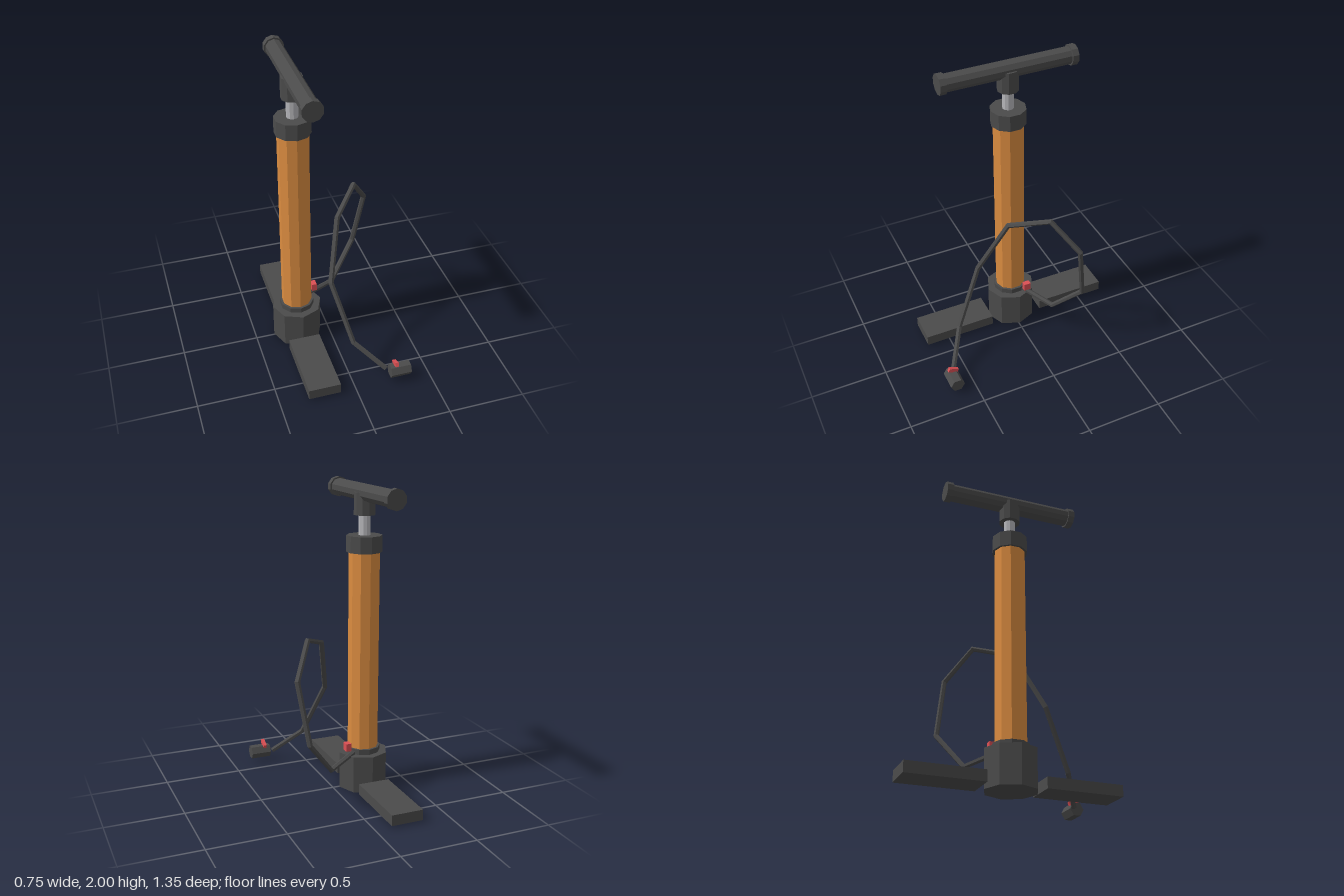
import * as THREE from 'three';

const mat = (name, color) => {
  const m = new THREE.MeshStandardMaterial({ color, flatShading: true });
  m.name = name;
  return m;
};

export function createModel() {
  const dark = mat('dark plastic', 0x4b4b4b);
  const orange = mat('orange barrel', 0xdb8c40);
  const silver = mat('silver rod', 0xb6b6ba);
  const red = mat('red accent', 0xdc5054);

  const model = new THREE.Group();
  model.name = 'floorPump';

  const add = (name, geometry, material, x, y, z, parent = model) => {
    const mesh = new THREE.Mesh(geometry, material);
    mesh.name = name;
    mesh.position.set(x, y, z);
    parent.add(mesh);
    return mesh;
  };

  // Upright body, stacked on one axis
  const body = new THREE.Group();
  body.name = 'body';
  body.position.set(-0.21, 0, -0.007);
  model.add(body);
  const stack = (name, r, y0, y1, sides, material) =>
    add(name, new THREE.CylinderGeometry(r, r, y1 - y0, sides), material, 0, (y0 + y1) / 2, 0, body);
  stack('base', 0.165, 0, 0.245, 8, dark);
  stack('lowerCollar', 0.114, 0.245, 0.28, 10, dark);
  stack('barrel', 0.099, 0.28, 1.57, 10, orange);
  stack('upperCollar', 0.114, 1.57, 1.675, 10, dark);
  stack('rod', 0.037, 1.675, 1.8, 10, silver);
  stack('handleStem', 0.068, 1.8, 1.94, 10, dark);

  // Cross handle with end caps
  const bar = (name, r, length, z) =>
    add(name, new THREE.CylinderGeometry(r, r, length, 10).rotateX(Math.PI / 2), dark, 0, 1.937, z, body);
  bar('handleBar', 0.055, 0.82, 0);
  for (const s of [1, -1]) {
    bar('handleCap', 0.065, 0.042, s * 0.424);
    // Foot plates in front of and behind the base
    add('footPlate', new THREE.BoxGeometry(0.21, 0.07, 0.484), dark, 0, 0.048, s * 0.424, body);
  }

  // Hose: straight runs joined at mitred corners
  const points = [
    [-0.13, 0.255, -0.055], [0.09, 0.215, -0.19], [0.28, 0.455, -0.31],
    [0.335, 0.85, -0.25], [0.21, 1.06, -0.1], [0.035, 0.975, 0.11],
    [-0.06, 0.61, 0.29], [0.035, 0.24, 0.475], [0.217, 0.075, 0.597],
  ].map((p) => new THREE.Vector3(...p));
  const last = points.length - 1;
  const path = new THREE.Curve();
  path.getPointAt = (u) => points[Math.round(u * last)].clone();
  path.getTangentAt = (u) => {
    const i = Math.round(u * last);
    const dir = (k) => points[k + 1].clone().sub(points[k]).normalize();
    return dir(Math.max(i - 1, 0)).add(dir(Math.min(i, last - 1))).normalize();
  };
  add('hose', new THREE.TubeGeometry(path, last, 0.018, 6), dark, 0, 0, 0);
  const end = add('hoseEnd', new THREE.CircleGeometry(0.018, 6), dark, ...points[last].toArray());
  end.lookAt(points[last].clone().multiplyScalar(2).sub(points[last - 1]));

  // Valve head with its tilted lever
  add('valveHead', new THREE.CylinderGeometry(0.047, 0.047, 0.135, 6).rotateZ(Math.PI / 2).rotateX(Math.PI / 2),
    dark, 0.303, 0.071, 0.627).rotation.x = Math.PI / 2;
  const lever = add('valveLever', new THREE.BoxGeometry(0.022, 0.028, 0.066), red, 0.275, 0.123, 0.621);
  lever.rotation.x = -0.42;

  // Red block beside the hose outlet
  add('outletBlock', new THREE.BoxGeometry(0.034, 0.052, 0.048), red, -0.073, 0.306, -0.071);

  return model;
}
